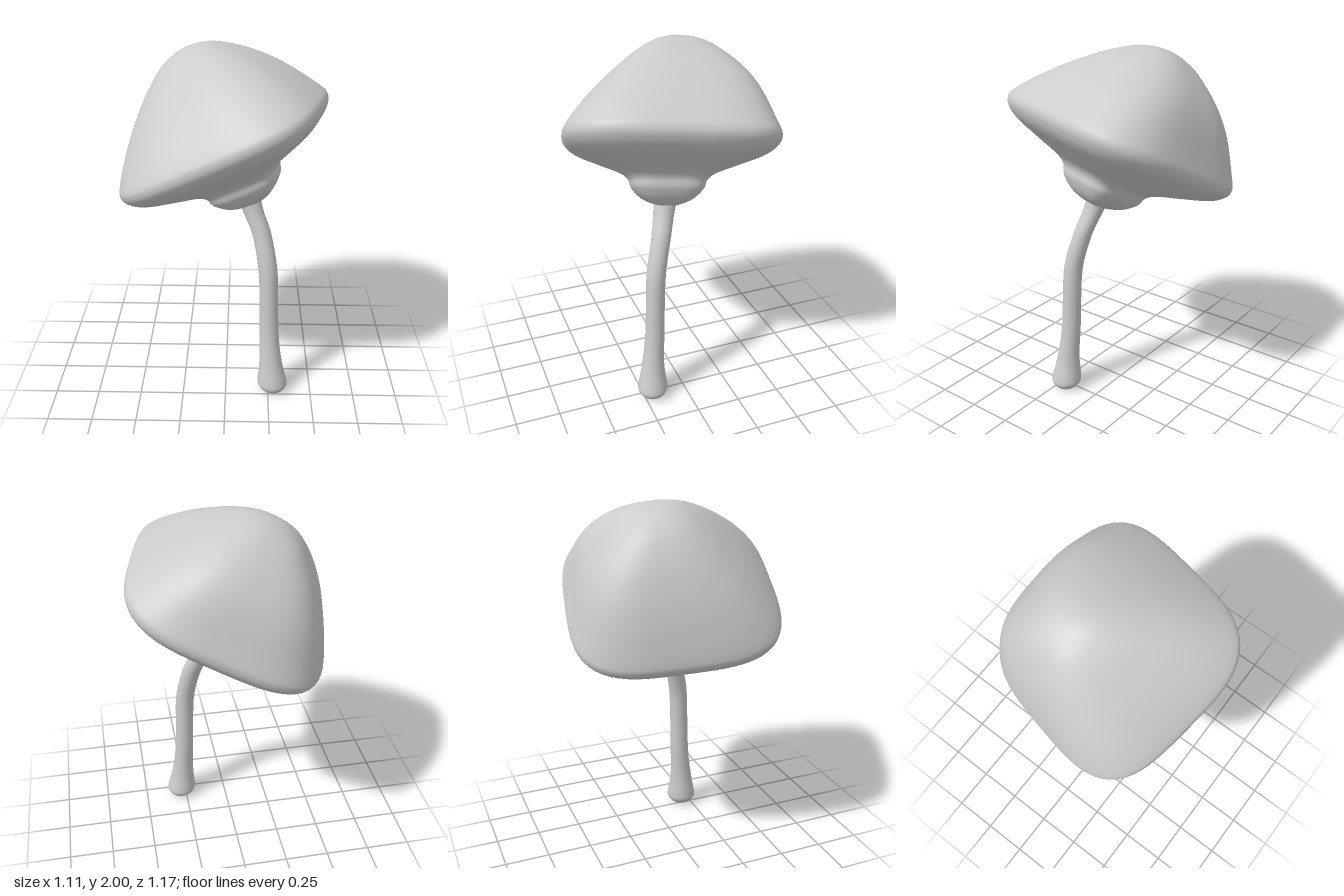
import * as THREE from 'three';
import { mergeVertices } from 'three/addons/utils/BufferGeometryUtils.js';

const material = new THREE.MeshStandardMaterial({ color: 0xcccccc });

// Turns a smooth profile of [radius, height] points, then moves each vertex by a rule.
function turned(profile, rings, sides, rule) {
  const curve = new THREE.SplineCurve(profile.map(([r, h]) => new THREE.Vector2(r, h)));
  const points = curve.getPoints(rings);
  points.forEach((p) => { p.x = Math.max(p.x, 0); });
  let geometry = new THREE.LatheGeometry(points, sides);
  geometry.deleteAttribute('uv');
  geometry.deleteAttribute('normal');
  const pos = geometry.attributes.position;
  const v = new THREE.Vector3();
  for (let i = 0; i < pos.count; i++) {
    v.fromBufferAttribute(pos, i);
    rule(v);
    pos.setXYZ(i, v.x, v.y, v.z);
  }
  geometry = mergeVertices(geometry, 1e-5);
  geometry.computeVertexNormals();
  return geometry;
}

function named(name, geometry) {
  const mesh = new THREE.Mesh(geometry, material);
  mesh.name = name;
  return mesh;
}

// Cap: underside collar, rounded rim and dome, with rounded-square cross-sections.
function createCap() {
  const rim = 0.565;
  const profile = [
    [0, -0.37], [0.06, -0.36], [0.13, -0.33], [0.185, -0.275], [0.205, -0.225],
    [0.25, -0.19], [0.36, -0.147], [0.49, -0.095], [0.55, -0.045], [0.565, 0],
    [0.55, 0.045], [0.5, 0.13], [0.44, 0.22], [0.37, 0.31], [0.27, 0.415],
    [0.16, 0.5], [0.07, 0.537], [0, 0.545],
  ];
  const geometry = turned(profile, 102, 96, (v) => {
    const r = Math.hypot(v.x, v.z);
    if (r > 1e-6) {
      // The dome grows rounder towards its top; the collar is squarer than the rim.
      const n = v.y > 0 ? 2.4 + 1.1 * (r / rim) : 4.2 - 0.7 * (r / rim);
      const c = Math.abs(v.x / r), s = Math.abs(v.z / r);
      const k = (c ** n + s ** n) ** (-1 / n);
      v.x *= k;
      v.z *= k;
    }
    // The dome leans backwards
    const lean = THREE.MathUtils.smoothstep(v.y, 0, 0.4);
    v.z = v.z * (1 + 0.04 * lean) - 0.055 * lean;
  });
  const cap = named('cap', geometry);
  // Tilted frame of the cap
  const up = new THREE.Vector3(-0.48, 1, -0.2).normalize();
  const side = new THREE.Vector3(0.881, 0.457, 0.173);
  const front = new THREE.Vector3().crossVectors(side, up).normalize();
  side.crossVectors(up, front);
  cap.quaternion.setFromRotationMatrix(new THREE.Matrix4().makeBasis(side, up, front));
  cap.position.set(0, 1.487, 0);
  return cap;
}

// Stem: slender column with a bulbous foot, bent towards the cap.
function createStem() {
  const profile = [
    [0, 0.005], [0.05, 0.01], [0.083, 0.045], [0.083, 0.09], [0.068, 0.18],
    [0.057, 0.32], [0.053, 0.55], [0.053, 0.8], [0.053, 1], [0.058, 1.13], [0.07, 1.24],
  ];
  // Centre line as [height, x, z]
  const line = [
    [0, 0.282, 0.2], [0.2, 0.264, 0.19], [0.4, 0.251, 0.173], [0.6, 0.245, 0.166],
    [0.8, 0.235, 0.155], [1, 0.197, 0.112], [1.12, 0.15, 0.079], [1.25, 0.105, 0.045],
  ];
  const centre = (axis, y) => {
    let i = 0;
    while (i < line.length - 2 && y > line[i + 1][0]) i++;
    const slope = (j) => {
      const a = line[Math.max(j - 1, 0)], b = line[Math.min(j + 1, line.length - 1)];
      return (b[axis] - a[axis]) / (b[0] - a[0]);
    };
    // Smooth cubic between neighbouring points
    const [a, b] = [line[i], line[i + 1]];
    const d = b[0] - a[0], t = (y - a[0]) / d;
    return a[axis] * (1 + 2 * t) * (1 - t) ** 2 + b[axis] * t * t * (3 - 2 * t)
      + d * (slope(i) * t * (1 - t) ** 2 + slope(i + 1) * t * t * (t - 1));
  };
  return named('stem', turned(profile, 60, 32, (v) => {
    v.x += centre(1, v.y);
    v.z += centre(2, v.y);
  }));
}

export function createModel() {
  const model = new THREE.Group();
  model.name = 'mushroom';
  model.add(createCap(), createStem());
  return model;
}
